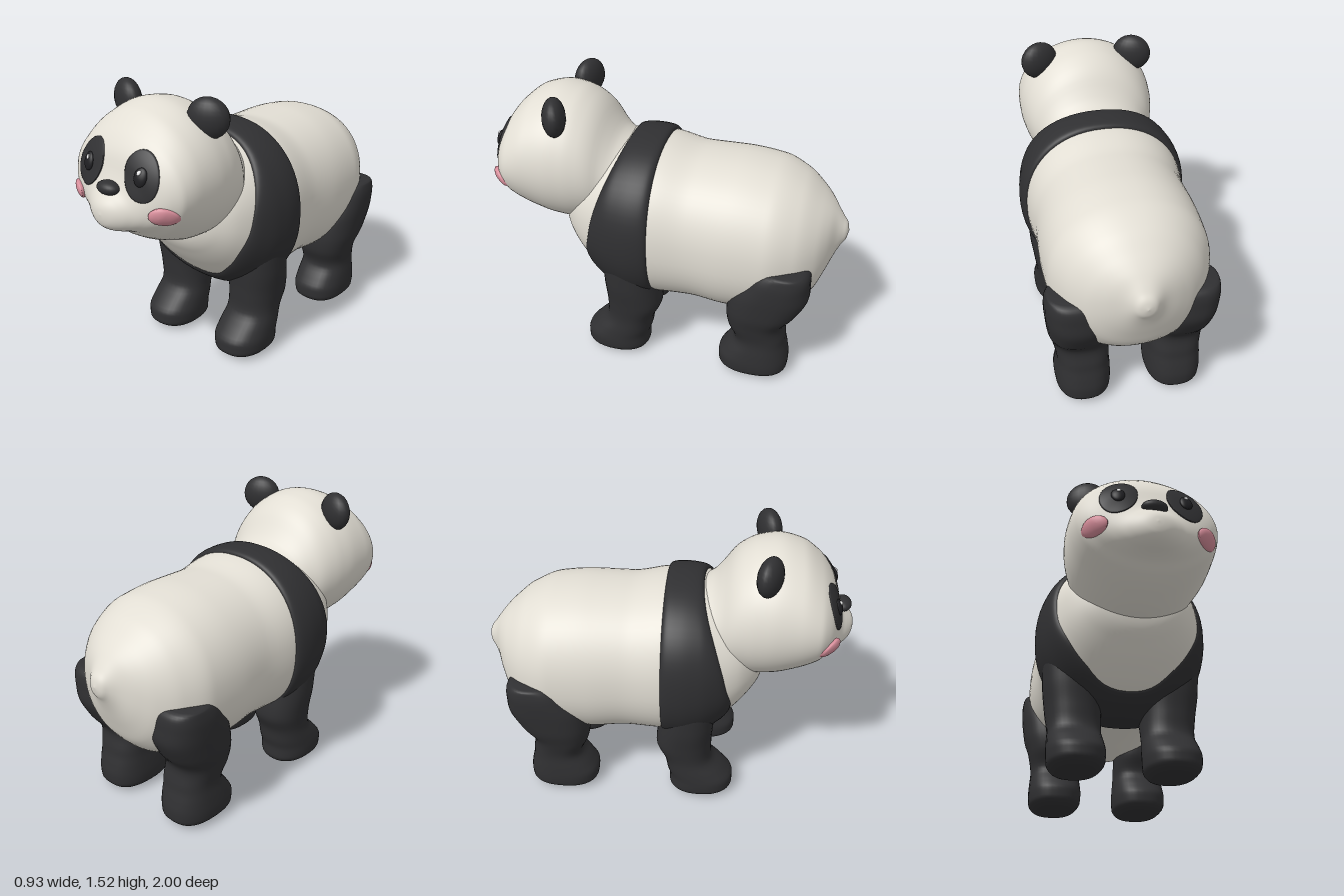
import * as THREE from 'three';

const mat = (name, color, side = THREE.FrontSide) => {
  const m = new THREE.MeshStandardMaterial({ color, side });
  m.name = name;
  return m;
};

// Smooth, overshoot-free interpolation of table rows [key, v1, v2, ...]
function profile(rows) {
  const secant = (i, c) => (rows[i + 1][c] - rows[i][c]) / (rows[i + 1][0] - rows[i][0]);
  const slope = (i, c) => {
    if (i === 0) return secant(0, c);
    if (i === rows.length - 1) return secant(i - 1, c);
    const a = secant(i - 1, c), b = secant(i, c);
    return a * b <= 0 ? 0 : (2 * a * b) / (a + b);
  };
  return (k) => {
    let i = 0;
    while (i < rows.length - 2 && k > rows[i + 1][0]) i++;
    const d = rows[i + 1][0] - rows[i][0];
    const t = THREE.MathUtils.clamp((k - rows[i][0]) / d, 0, 1);
    const t2 = t * t, t3 = t2 * t;
    return rows[i].slice(1).map((p, j) =>
      p * (2 * t3 - 3 * t2 + 1) + rows[i + 1][j + 1] * (3 * t2 - 2 * t3) +
      d * (slope(i, j + 1) * (t3 - 2 * t2 + t) + slope(i + 1, j + 1) * (t3 - t2)));
  };
}

// Surface of closed rings; fn(u, angle) returns [x, y, z]
function loft(nu, nv, fn) {
  const pos = [], index = [];
  for (let i = 0; i <= nu; i++)
    for (let j = 0; j < nv; j++) {
      pos.push(...fn(i / nu, (j / nv) * Math.PI * 2));
      if (i === nu) continue;
      const a = i * nv + j, b = i * nv + ((j + 1) % nv);
      index.push(a, b, a + nv, b, b + nv, a + nv);
    }
  const g = new THREE.BufferGeometry();
  g.setAttribute('position', new THREE.Float32BufferAttribute(pos, 3));
  g.setIndex(index);
  g.computeVertexNormals();
  return g;
}

const spow = (v, n) => Math.sign(v) * Math.pow(Math.abs(v), 2 / n);

// Torso: z, top, bottom, half width
const torso = profile([
  [-1, 0.83, 0.83, 0], [-0.99, 0.87, 0.785, 0.04], [-0.965, 0.905, 0.745, 0.07],
  [-0.94, 0.94, 0.69, 0.105], [-0.9, 0.99, 0.59, 0.19], [-0.85, 1.04, 0.48, 0.27],
  [-0.75, 1.12, 0.385, 0.36], [-0.6, 1.18, 0.34, 0.42], [-0.4, 1.2, 0.33, 0.428],
  [-0.2, 1.2, 0.35, 0.42], [0, 1.235, 0.345, 0.437], [0.1, 1.24, 0.345, 0.442],
  [0.2, 1.23, 0.37, 0.43], [0.3, 1.2, 0.43, 0.395], [0.4, 1.14, 0.53, 0.345],
  [0.47, 1.05, 0.62, 0.28], [0.52, 0.98, 0.7, 0.2], [0.56, 0.85, 0.85, 0],
]);
const torsoPoint = (z, a, off = 0) => {
  const [top, bot, w] = torso(z);
  return [(w + off) * spow(Math.cos(a), 2.2),
    (top + bot) / 2 + ((top - bot) / 2 + off) * spow(Math.sin(a), 2.2), z];
};

// Front edge of the shoulder band, keyed by the sine of the ring angle
const bandEdge = profile([[-1, 0.3], [-0.8, 0.355], [-0.5, 0.37], [0, 0.335], [0.5, 0.28], [1, 0.2]]);

// Head and neck: z, top, bottom, half width
const head = profile([
  [0.15, 1.2, 0.8, 0.27], [0.25, 1.255, 0.78, 0.29], [0.3, 1.315, 0.765, 0.305],
  [0.35, 1.385, 0.755, 0.335], [0.4, 1.43, 0.745, 0.355], [0.48, 1.47, 0.735, 0.375],
  [0.58, 1.485, 0.745, 0.385], [0.7, 1.455, 0.785, 0.38], [0.8, 1.38, 0.84, 0.36],
  [0.85, 1.32, 0.88, 0.315], [0.88, 1.265, 0.895, 0.265], [0.9, 1.2, 0.902, 0.215],
  [0.93, 1.13, 0.91, 0.155], [0.96, 1.095, 0.925, 0.11], [0.985, 1.065, 0.95, 0.065],
  [0.996, 1.04, 0.98, 0.03], [1, 1.01, 1.01, 0],
]);

// Depth of the face surface at a given x, y
function faceZ(x, y) {
  let lo = 0.6, hi = 1;
  for (let i = 0; i < 24; i++) {
    const z = (lo + hi) / 2;
    const [top, bot, w] = head(z);
    const r = (x / Math.max(w, 1e-4)) ** 2 + ((y - (top + bot) / 2) / Math.max((top - bot) / 2, 1e-4)) ** 2;
    if (r < 1) lo = z; else hi = z;
  }
  return lo;
}

// Thin domed oval that follows the face
function faceOval(cx, cy, rx, ry, tilt, base, dome) {
  const c = Math.cos(tilt), s = Math.sin(tilt);
  return loft(10, 32, (u, a) => {
    const r = Math.cos((u * Math.PI) / 2);
    const px = r * rx * Math.cos(a), py = r * ry * Math.sin(a);
    const x = cx + px * c - py * s, y = cy + px * s + py * c;
    return [x, y, faceZ(x, y) + (u === 0 ? -0.004 : base + dome * Math.sqrt(1 - r * r))];
  });
}

// Legs: y, centre x, centre z, radius x, radius z
const foreLeg = profile([
  [0, 0.25, 0.21, 0, 0], [0.004, 0.25, 0.21, 0.09, 0.12], [0.02, 0.25, 0.215, 0.125, 0.16],
  [0.05, 0.25, 0.22, 0.146, 0.18], [0.1, 0.25, 0.22, 0.15, 0.18], [0.16, 0.25, 0.19, 0.147, 0.165],
  [0.24, 0.25, 0.145, 0.14, 0.135], [0.35, 0.255, 0.12, 0.147, 0.155],
  [0.5, 0.26, 0.135, 0.16, 0.15], [0.7, 0.27, 0.15, 0.15, 0.13], [0.8, 0.27, 0.15, 0, 0],
]);
const hindLeg = profile([
  [0, 0.25, -0.58, 0, 0], [0.004, 0.25, -0.58, 0.09, 0.13], [0.02, 0.25, -0.575, 0.125, 0.17],
  [0.05, 0.25, -0.573, 0.146, 0.193], [0.1, 0.25, -0.573, 0.15, 0.196], [0.16, 0.25, -0.585, 0.147, 0.175],
  [0.24, 0.25, -0.602, 0.14, 0.142], [0.35, 0.26, -0.575, 0.15, 0.155],
  [0.45, 0.275, -0.605, 0.16, 0.19], [0.55, 0.285, -0.64, 0.16, 0.205],
  [0.65, 0.295, -0.675, 0.155, 0.175], [0.71, 0.3, -0.695, 0.145, 0.15],
  [0.745, 0.3, -0.71, 0.135, 0.105], [0.757, 0.3, -0.715, 0, 0],
]);
const legGeometry = (table, height, side, n) => loft(56, 36, (u, a) => {
  const y = height * (0.5 - 0.5 * Math.cos(Math.PI * u));
  const [cx, cz, rx, rz] = table(y);
  return [side * cx + rx * spow(Math.cos(a), n), y, cz - rz * spow(Math.sin(a), n)];
});

export function createModel() {
  const group = new THREE.Group();
  group.name = 'panda';
  const white = mat('warm white fur', 0xe2ded4);
  const black = mat('black fur', 0x303032);
  const eyeBlack = mat('eye black', 0x1f1f22);
  const pink = mat('cheek pink', 0xd98f9c);
  const shine = mat('eye shine', 0xf4f4f4);

  const add = (name, geometry, material) => {
    const m = new THREE.Mesh(geometry, material);
    m.name = name;
    group.add(m);
    return m;
  };

  // Torso with tail stub, shoulder band and chest bib
  add('rearBody', loft(64, 64, (u, a) => torsoPoint(-1 + Math.pow(u, 1.6), a)), white);
  add('shoulderBand', loft(28, 64, (u, a) => {
    const t = 0.5 - 0.5 * Math.cos(Math.PI * u);
    const off = 0.024 * Math.sqrt(Math.max(0, 1 - Math.abs(2 * t - 1) ** 6));
    return torsoPoint(t * bandEdge(Math.sin(a))[0], a, off);
  }), black);
  add('chestBib', loft(28, 64, (u, a) => {
    const z = bandEdge(Math.sin(a))[0];
    return torsoPoint(z + (0.56 - z) * Math.sin((u * Math.PI) / 2), a);
  }), white);

  // Head with muzzle
  add('head', loft(72, 72, (u, a) => {
    const z = 0.15 + 0.85 * Math.sin((u * Math.PI) / 2);
    const [top, bot, w] = head(z);
    return [w * Math.cos(a), (top + bot) / 2 + ((top - bot) / 2) * Math.sin(a), z];
  }), white);

  const nose = add('nose', new THREE.SphereGeometry(1, 24, 16), black);
  nose.scale.set(0.066, 0.034, 0.045);
  nose.position.set(0, 1.128, 0.935);

  for (const side of [1, -1]) {
    const label = side > 0 ? 'left' : 'right';
    add(label + 'FrontLeg', legGeometry(foreLeg, 0.8, side, 2.3), black);
    add(label + 'HindLeg', legGeometry(hindLeg, 0.757, side, 2.5), black);

    const ear = add(label + 'Ear', new THREE.SphereGeometry(1, 20, 14), black);
    ear.scale.set(0.108, 0.103, 0.062);
    ear.position.set(side * 0.268, 1.418, 0.53);
    ear.rotation.y = side * 0.35;

    // Face markings
    add(label + 'EyePatch', faceOval(side * 0.167, 1.205, 0.09, 0.12, side * 0.38, 0.004, 0.006), black);
    add(label + 'Eye', faceOval(side * 0.172, 1.207, 0.034, 0.044, 0, 0.01, 0.016), eyeBlack);
    add(label + 'EyeShine', faceOval(side * 0.17, 1.231, 0.01, 0.011, 0, 0.025, 0.006), shine);
    add(label + 'Cheek', faceOval(side * 0.28, 1.03, 0.057, 0.047, 0, 0.01, 0.02), pink);
  }
  return group;
}
